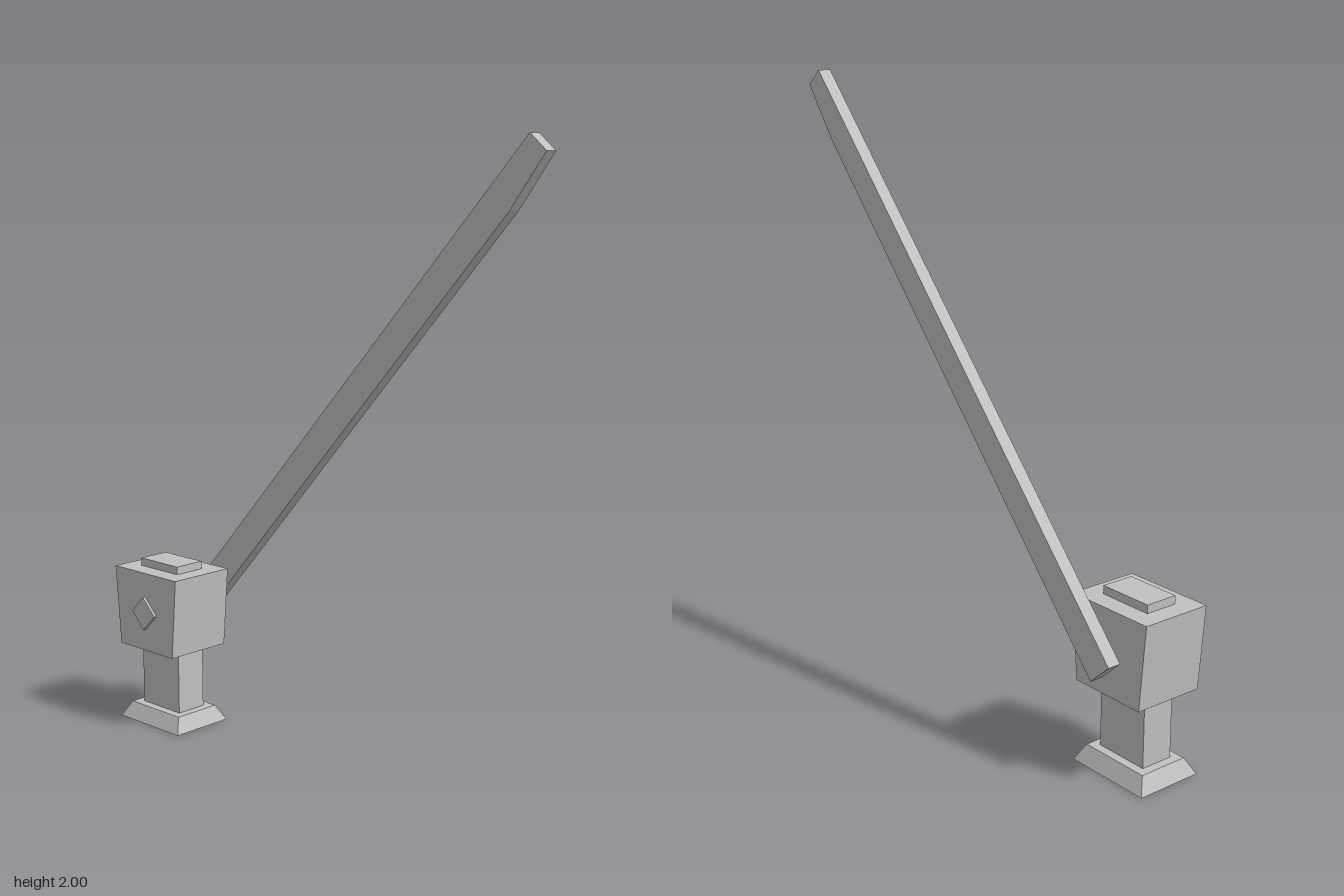
import * as THREE from 'three';

const CX = -0.028, CZ = -0.635;

// Box from y0 to y1 whose top and bottom may differ in width and depth
function taperedBox(y0, y1, [w0, d0], [w1, d1]) {
  const g = new THREE.BoxGeometry(1, y1 - y0, 1);
  const p = g.attributes.position;
  for (let i = 0; i < p.count; i++) {
    const top = p.getY(i) > 0;
    p.setX(i, p.getX(i) * (top ? w1 : w0));
    p.setZ(i, p.getZ(i) * (top ? d1 : d0));
  }
  g.translate(CX, (y0 + y1) / 2, CZ);
  g.computeVertexNormals();
  return g;
}

// Four-sided pin lying along x, standing on its edge
function pin(x0, x1, radius) {
  const g = new THREE.CylinderGeometry(radius, radius, x1 - x0, 4);
  g.rotateZ(Math.PI / 2);
  g.translate((x0 + x1) / 2, 0.405, -0.637);
  return g;
}

export function createModel() {
  const group = new THREE.Group();
  const grey = new THREE.MeshStandardMaterial({ color: 0xc0c0c0, flatShading: true });
  grey.name = 'grey';
  const add = (name, geometry) => {
    const mesh = new THREE.Mesh(geometry, grey);
    mesh.name = name;
    group.add(mesh);
  };

  // Stand
  add('base', taperedBox(0, 0.052, [0.228, 0.298], [0.17, 0.243]));
  add('column', taperedBox(0.052, 0.272, [0.112, 0.186], [0.112, 0.186]));

  // Housing, slightly wider front to back at the top
  add('housing', taperedBox(0.272, 0.546, [0.24, 0.268], [0.24, 0.313]));
  add('cap', taperedBox(0.546, 0.573, [0.112, 0.186], [0.112, 0.186]));

  // Pivot
  add('hub', pin(-0.158, -0.14, 0.058));
  add('axle', pin(0.08, 0.115, 0.034));

  // Barrier arm: side outline in (z, y), with a cut-off tip
  const outline = new THREE.Shape([
    [-0.632, 0.335], [0.672, 1.785], [0.793, 1.95], [0.735, 2.0], [-0.707, 0.405],
  ].map(([z, y]) => new THREE.Vector2(z, y)));
  const arm = new THREE.ExtrudeGeometry(outline, { depth: 0.045, bevelEnabled: false });
  arm.rotateY(-Math.PI / 2);
  arm.translate(0.155, 0, 0);
  add('arm', arm);

  return group;
}
